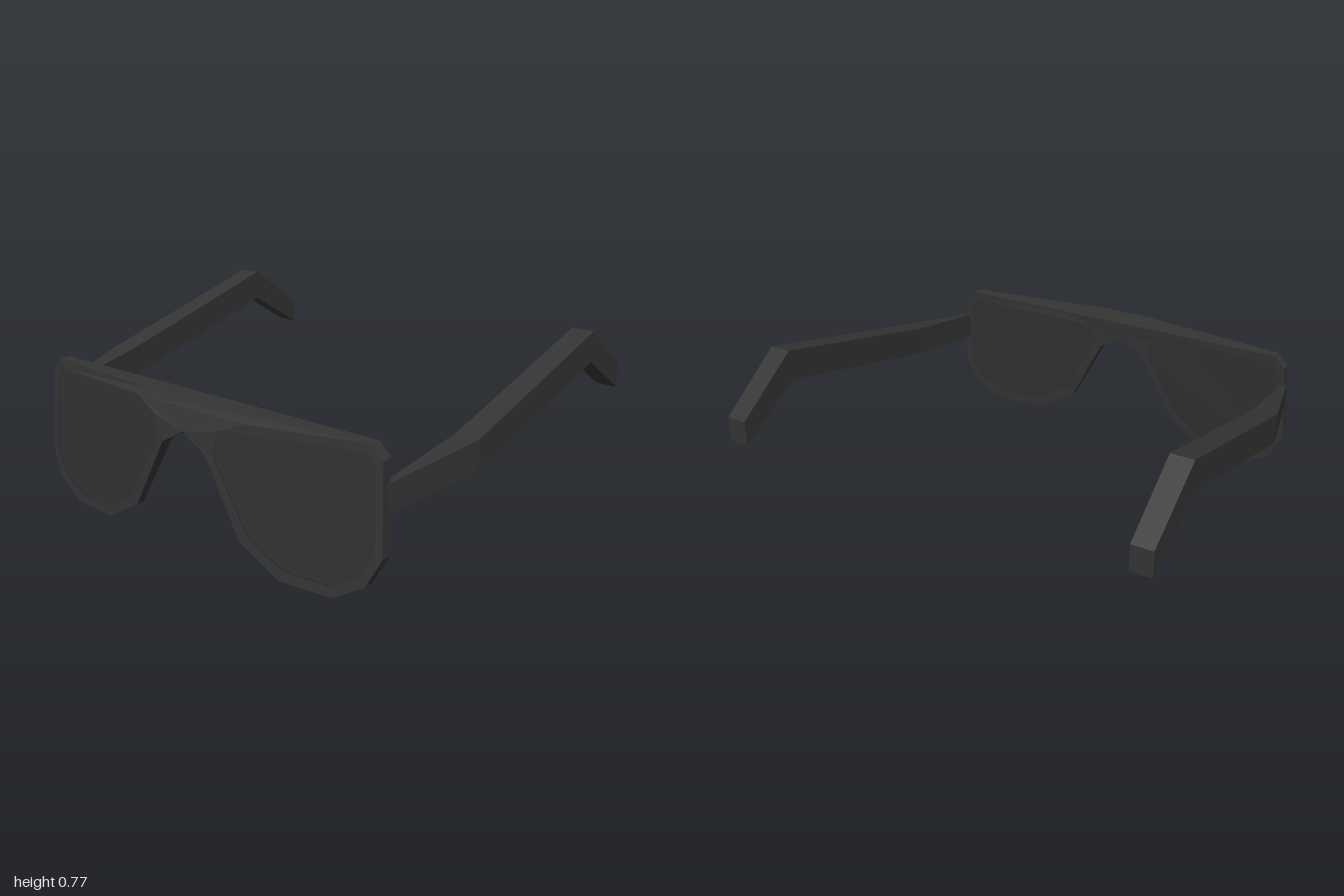
import * as THREE from 'three';

const frameMat = new THREE.MeshStandardMaterial({ color: 0x343434 });
frameMat.name = 'frame charcoal';
const lensMat = new THREE.MeshStandardMaterial({ color: 0x313131 });
lensMat.name = 'lens charcoal';

const lerp = THREE.MathUtils.lerp;
const mirror = pts => pts.map(([x, y]) => [-x, y]).reverse();
const toVectors = pts => pts.map(p => new THREE.Vector2(...p));

// Half of the rim outline, from top centre round to the nose bridge
const halfRim = [
  [0.12, 0.628], [0.28, 0.627], [0.82, 0.622], [0.87, 0.57], [0.892, 0.21],
  [0.83, 0.09], [0.697, 0.01], [0.465, 0.014], [0.28, 0.123], [0.113, 0.438],
];
const lensOutline = [
  [0.28, 0.588], [0.81, 0.583], [0.845, 0.54], [0.86, 0.22], [0.805, 0.12], [0.683, 0.053],
  [0.475, 0.057], [0.317, 0.15], [0.165, 0.41], [0.15, 0.47], [0.172, 0.54],
];

// Piecewise wrap of the front, by distance from the centre
function along(x, table) {
  const a = Math.abs(x);
  for (let i = 1; i < table.length; i++) {
    const [x0, z0] = table[i - 1], [x1, z1] = table[i];
    if (a <= x1) return lerp(z0, z1, (a - x0) / (x1 - x0));
  }
  return table[table.length - 1][1];
}
const frontZ = x => along(x, [[0, 0.89], [0.12, 0.89], [0.28, 0.866], [0.9, 0.8]]);
const backZ = x => along(x, [[0, 0.835], [0.25, 0.835], [0.9, 0.752]]);

// Extrude a flat shape and wrap it to the curved, tilted front
function wrappedPlate(shape, inset) {
  const geo = new THREE.ExtrudeGeometry(shape, { depth: 1, bevelEnabled: false });
  const p = geo.attributes.position;
  for (let i = 0; i < p.count; i++) {
    const x = p.getX(i), y = p.getY(i);
    const z = p.getZ(i) > 0.5 ? frontZ(x) - inset : backZ(x) + inset;
    p.setZ(i, z + 0.07 * (0.3 - y));
  }
  geo.computeVertexNormals();
  return geo;
}

// Loft rectangular sections [z, bottom, top, inner, outer] from front to tip
function templeGeometry(side) {
  const sections = [
    [0.762, 0.368, 0.482, 0.858, 0.88],
    [0.335, 0.413, 0.547, 0.883, 0.986],
    [-0.57, 0.632, 0.768, 0.894, 0.992],
    [-0.872, 0.447, 0.558, 0.896, 0.988],
  ];
  const pos = [], index = [];
  for (const [z, y0, y1, x0, x1] of sections) {
    pos.push(side * x0, y0, z, side * x1, y0, z, side * x1, y1, z, side * x0, y1, z);
  }
  const quad = (a, b, c, d) => {
    if (side > 0) index.push(a, b, c, a, c, d);
    else index.push(a, c, b, a, d, c);
  };
  for (let s = 0; s < sections.length - 1; s++) {
    for (let k = 0; k < 4; k++) {
      const a = s * 4 + k, b = s * 4 + (k + 1) % 4;
      quad(a, a + 4, b + 4, b);
    }
  }
  const e = (sections.length - 1) * 4;
  quad(0, 1, 2, 3);
  quad(e + 3, e + 2, e + 1, e);
  const indexed = new THREE.BufferGeometry();
  indexed.setAttribute('position', new THREE.Float32BufferAttribute(pos, 3));
  indexed.setIndex(index);
  const geo = indexed.toNonIndexed();
  geo.computeVertexNormals();
  return geo;
}

export function createModel() {
  const model = new THREE.Group();
  model.name = 'sunglasses';
  const add = (name, geo, mat) => {
    const mesh = new THREE.Mesh(geo, mat);
    mesh.name = name;
    model.add(mesh);
  };

  // Rim with two lens openings
  const rim = new THREE.Shape(toVectors([...halfRim, [0, 0.502], ...mirror(halfRim)]));
  for (const pts of [lensOutline, mirror(lensOutline)]) rim.holes.push(new THREE.Path(toVectors(pts)));
  add('frontFrame', wrappedPlate(rim, 0), frameMat);

  // Lenses, slightly recessed, and temples
  for (const side of [1, -1]) {
    const label = side > 0 ? 'left' : 'right';
    const pts = side > 0 ? lensOutline : mirror(lensOutline);
    add(label + 'Lens', wrappedPlate(new THREE.Shape(toVectors(pts)), 0.006), lensMat);
    add(label + 'Temple', templeGeometry(side), frameMat);
  }

  // Slight resting twist
  model.rotation.set(0, 0.016, -0.007);
  return model;
}
